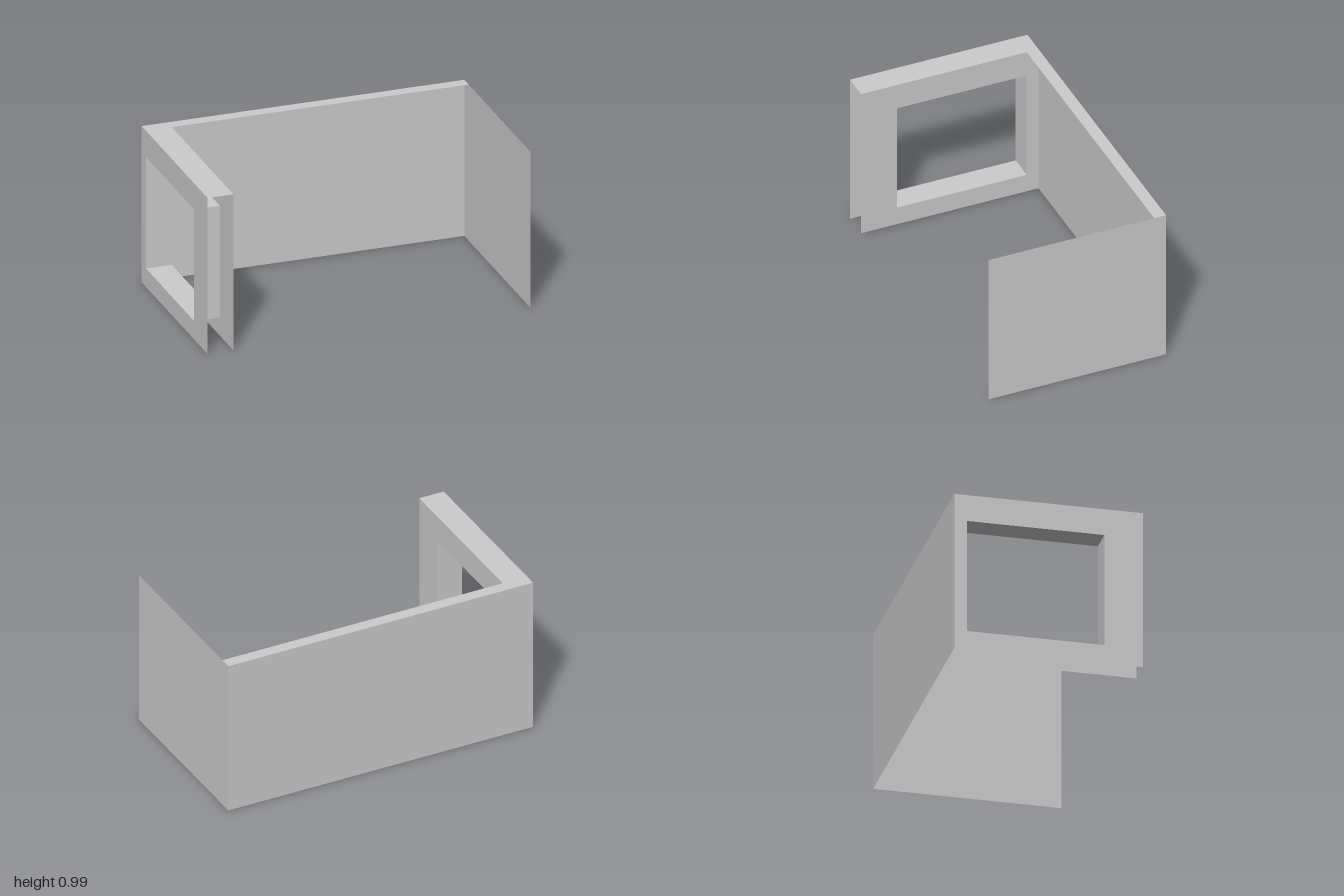
import * as THREE from 'three';

const W = 1, H = 0.99, D = 0.565;        // half width, height, half depth
const INNER_X = -0.84, LIP_Z = -0.49;    // inner side of window wall, front of back ledge
const WIN = { z0: -0.49, z1: 0.335, y0: 0.117, y1: 0.824 };

const material = new THREE.MeshStandardMaterial({ color: 0xcccccc, side: THREE.DoubleSide });

function polygon(points, Type = THREE.Shape) {
  return new Type(points.map(([a, b]) => new THREE.Vector2(a, b)));
}

const rect = (a0, b0, a1, b1) => [[a0, b0], [a1, b0], [a1, b1], [a0, b1]];

function addMesh(parent, name, geometry) {
  const mesh = new THREE.Mesh(geometry, material);
  mesh.name = name;
  parent.add(mesh);
  return mesh;
}

// Upright sheet across the depth at a given x, optionally with the window cut out
function sidePanel(x, withWindow) {
  const shape = polygon(rect(-D, 0, D, H));
  if (withWindow) {
    shape.holes.push(polygon(rect(WIN.z0, WIN.y0, WIN.z1, WIN.y1), THREE.Path));
  }
  return new THREE.ShapeGeometry(shape).rotateY(-Math.PI / 2).translate(x, 0, 0);
}

export function createModel() {
  const model = new THREE.Group();
  model.name = 'roomWalls';

  // Thin back and side walls
  addMesh(model, 'backWall', new THREE.PlaneGeometry(2 * W, H).rotateY(Math.PI).translate(0, H / 2, -D));
  addMesh(model, 'sideWall', sidePanel(W, false));

  // Hollow window wall, open at the front and bottom
  const windowWall = new THREE.Group();
  windowWall.name = 'windowWall';
  model.add(windowWall);
  addMesh(windowWall, 'outerSkin', sidePanel(-W, true));
  addMesh(windowWall, 'innerSkin', sidePanel(INNER_X, true));

  // Window lining: sill, head and two jambs
  const thick = INNER_X + W, midX = (INNER_X - W) / 2;
  const midZ = (WIN.z0 + WIN.z1) / 2, midY = (WIN.y0 + WIN.y1) / 2;
  for (const [name, y, turn] of [['windowSill', WIN.y0, -1], ['windowHead', WIN.y1, 1]]) {
    addMesh(windowWall, name, new THREE.PlaneGeometry(thick, WIN.z1 - WIN.z0)
      .rotateX(turn * Math.PI / 2).translate(midX, y, midZ));
  }
  for (const [name, z, turn] of [['backJamb', WIN.z0, 0], ['frontJamb', WIN.z1, Math.PI]]) {
    addMesh(windowWall, name, new THREE.PlaneGeometry(thick, WIN.y1 - WIN.y0)
      .rotateY(turn).translate(midX, midY, z));
  }

  // L-shaped ledge along the tops of the window wall and back wall
  const ledge = polygon([[-W, -D], [INNER_X, -D], [INNER_X, -LIP_Z], [W, -LIP_Z], [W, D], [-W, D]]);
  addMesh(model, 'topLedge', new THREE.ShapeGeometry(ledge).rotateX(-Math.PI / 2).translate(0, H, 0));

  return model;
}
